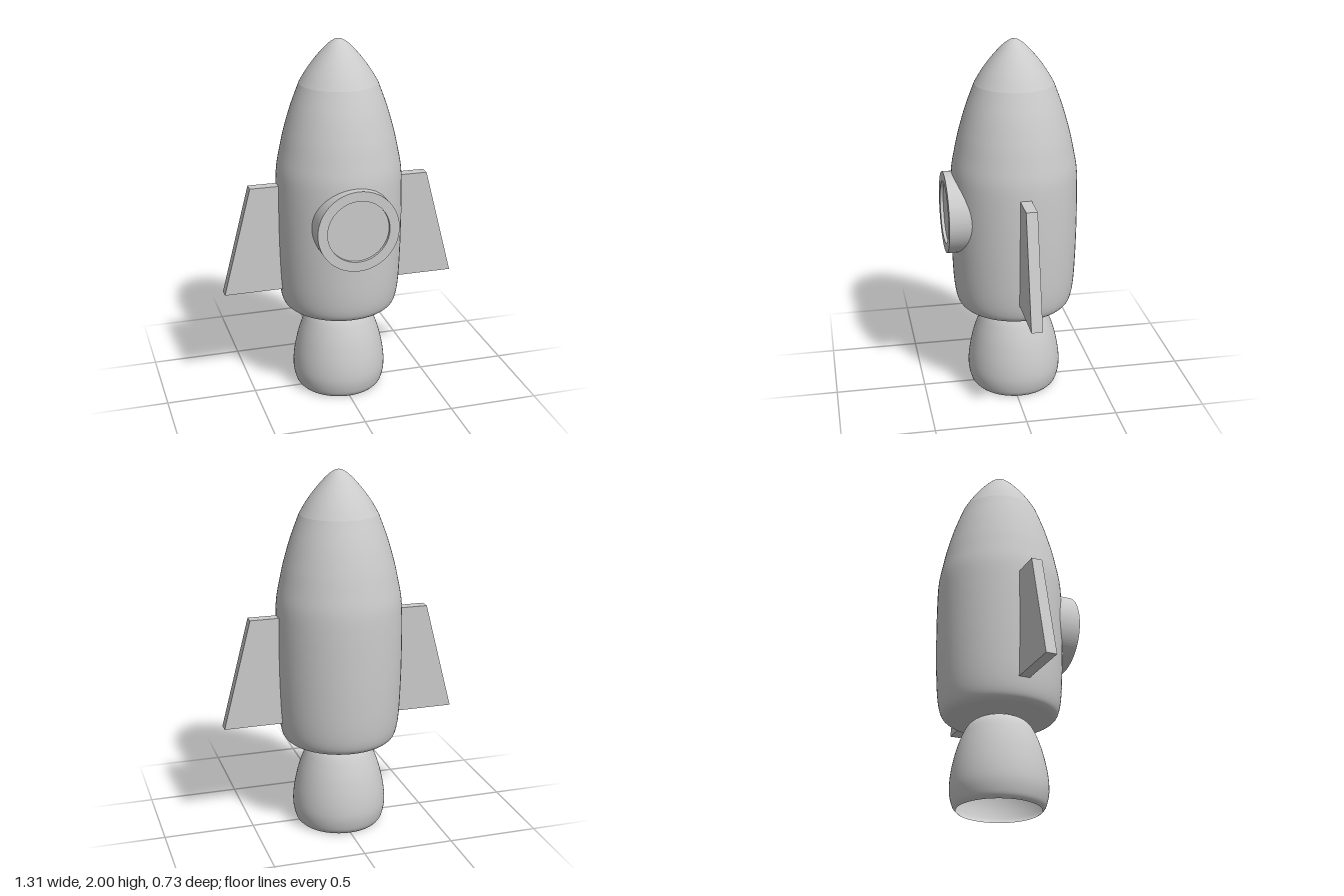
import * as THREE from 'three';

const AXIS_Z = -0.02; // the hull sits slightly behind centre to balance the porthole

export function createModel() {
  const group = new THREE.Group();
  const material = new THREE.MeshStandardMaterial({ color: 0xcccccc });
  const thin = new THREE.MeshStandardMaterial({ color: 0xcccccc, side: THREE.DoubleSide });

  const add = (name, geometry, z = AXIS_Z, mat = material) => {
    const mesh = new THREE.Mesh(geometry, mat);
    mesh.name = name;
    mesh.position.z = z;
    group.add(mesh);
    return mesh;
  };

  // Smooth turned shape through [radius, height] points, listed bottom to top
  const turned = (points, steps = 30) => {
    const curve = new THREE.SplineCurve(points.map(([r, y]) => new THREE.Vector2(r, y)));
    const profile = curve.getPoints(steps);
    profile.forEach((p) => { p.x = Math.max(p.x, 0); });
    return new THREE.LatheGeometry(profile, 64);
  };

  // Hull in three sections, meeting at faint creases
  add('lowerHull', turned([
    [0, 0.495], [0.15, 0.492], [0.25, 0.495], [0.295, 0.508], [0.32, 0.55], [0.335, 0.65],
    [0.343, 0.82], [0.346, 1.0], [0.345, 1.18], [0.339, 1.3], [0.321, 1.4],
  ], 60));
  add('upperHull', turned([[0.321, 1.4], [0.299, 1.5], [0.26, 1.635], [0.212, 1.765]]));
  add('noseCone', turned([
    [0.212, 1.765], [0.172, 1.832], [0.122, 1.9], [0.065, 1.963], [0.025, 1.993], [0, 2],
  ]));

  // Open, bell-shaped engine nozzle
  add('nozzle', turned([
    [0.224, 0], [0.245, 0.028], [0.26, 0.1], [0.255, 0.19], [0.235, 0.29],
    [0.208, 0.375], [0.175, 0.445], [0.13, 0.485], [0.06, 0.505], [0, 0.508],
  ], 50), AXIS_Z, thin);

  // Pair of swept side fins, rooted inside the hull
  for (const side of [1, -1]) {
    const outline = new THREE.Shape([
      [0.3, 0.62], [0.655, 0.62], [0.5, 1.223], [0.3, 1.223],
    ].map(([x, y]) => new THREE.Vector2(x * side, y)));
    const fin = new THREE.ExtrudeGeometry(outline, { depth: 0.06, bevelEnabled: false });
    add(side > 0 ? 'leftFin' : 'rightFin', fin, AXIS_Z - 0.03);
  }

  // Round porthole: protruding ring with a recessed pane
  const ring = new THREE.Shape().absarc(0, 0, 0.223, 0, Math.PI * 2, false);
  ring.holes.push(new THREE.Path().absarc(0, 0, 0.17, 0, Math.PI * 2, true));
  const frame = new THREE.ExtrudeGeometry(ring, { depth: 0.165, bevelEnabled: false, curveSegments: 48 });
  add('portholeFrame', frame, 0.2).position.y = 1.057;
  const pane = new THREE.CylinderGeometry(0.172, 0.172, 0.1, 64).rotateX(Math.PI / 2);
  add('portholePane', pane, 0.298).position.y = 1.057;

  return group;
}
